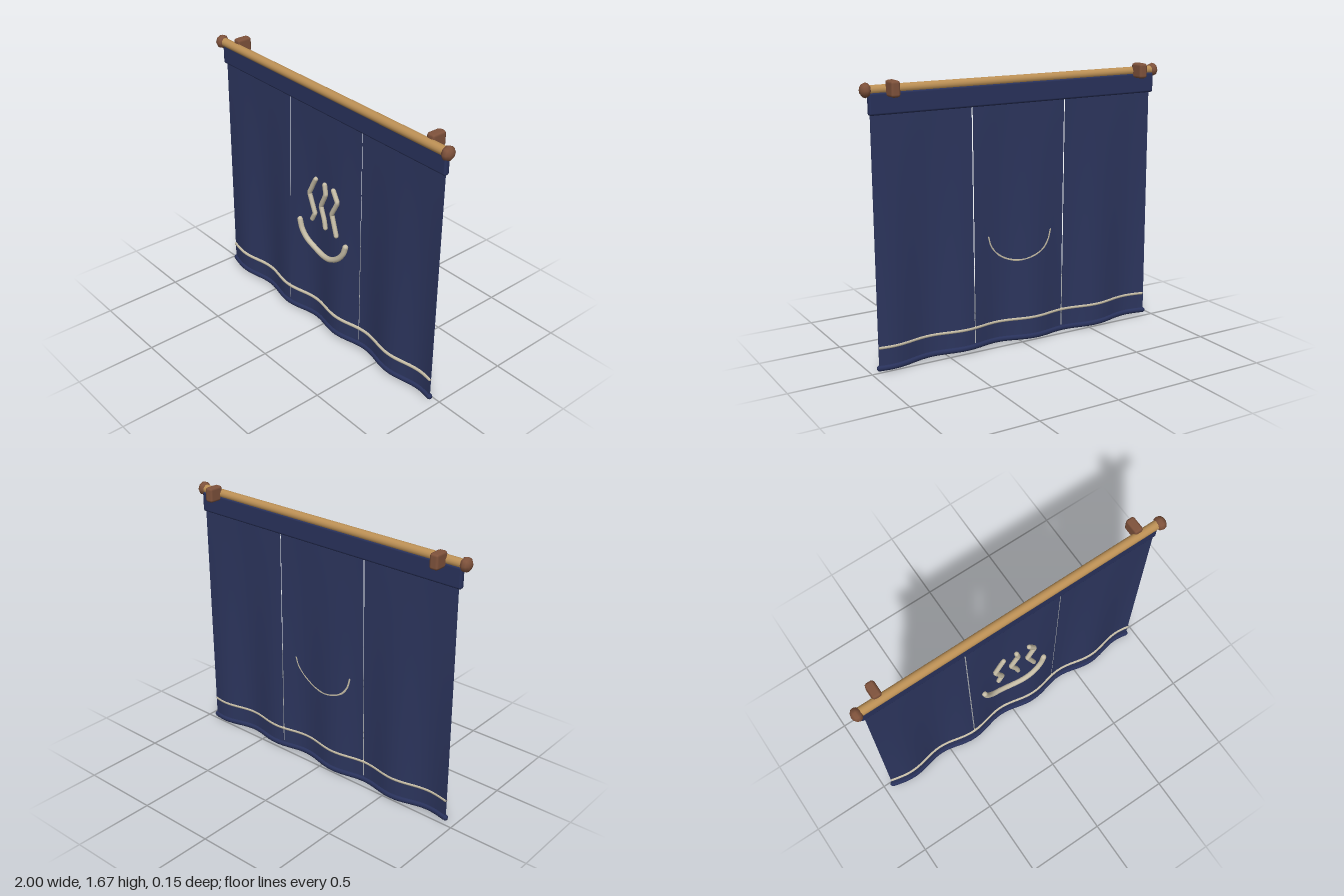
import * as THREE from 'three';
import { RoundedBoxGeometry } from 'three/addons/geometries/RoundedBoxGeometry.js';

const mat = (name, color) => {
  const m = new THREE.MeshStandardMaterial({ color });
  m.name = name;
  return m;
};
const V = (x, y, z) => new THREE.Vector3(x, y, z);

// Depth of the hanging cloth: folds grow towards the bottom
function clothZ(x, y) {
  const drop = THREE.MathUtils.clamp((1.49 - y) / 1.46, 0, 1);
  return 0.02 + drop * (0.011 + 0.019 * Math.cos((2 * Math.PI * (x + 0.8)) / 0.472));
}

// Height of the uneven lower edge
const sag = (x) => 0.007 * Math.sin(x * 4.6);

export function createModel() {
  const group = new THREE.Group();
  const navy = mat('navy cloth', 0x2d365f);
  const hemNavy = mat('navy hem', 0x29325c);
  const cream = mat('cream cord', 0xc8bfa8);
  const wood = mat('light wood', 0xbc9055);
  const brown = mat('brown wood', 0x80533c);

  const add = (name, geometry, material, x = 0, y = 0, z = 0) => {
    const mesh = new THREE.Mesh(geometry, material);
    mesh.name = name;
    mesh.position.set(x, y, z);
    group.add(mesh);
    return mesh;
  };

  // Capped tube with rounded-off ends
  const cord = (name, points, radius, material, segments, sides = 8, smooth = true) => {
    const path = smooth ? new THREE.CatmullRomCurve3(points) : new THREE.CurvePath();
    if (!smooth) {
      for (let i = 1; i < points.length; i++) path.add(new THREE.LineCurve3(points[i - 1], points[i]));
    }
    add(name, new THREE.TubeGeometry(path, segments, radius, sides), material);
    for (const p of [points[0], points[points.length - 1]]) {
      add(name + 'End', new THREE.SphereGeometry(radius, sides, 6), material, p.x, p.y, p.z);
    }
  };

  // Rod
  add('rod', new THREE.CylinderGeometry(0.027, 0.027, 1.94, 16).rotateZ(Math.PI / 2), wood, 0, 1.622, 0.027);

  // End knobs and wall brackets
  for (const side of [-1, 1]) {
    const knob = new THREE.SphereGeometry(0.043, 8, 6).rotateZ(Math.PI / 2).scale(0.75, 1, 1);
    add('knob', knob, brown, side * 0.968, 1.622, 0.03);
    add('bracket', new RoundedBoxGeometry(0.056, 0.092, 0.098, 1, 0.016), brown, side * 0.83, 1.629, -0.024);
  }

  // Header band under the rod
  add('headerBand', new RoundedBoxGeometry(1.92, 0.126, 0.036, 2, 0.013), hemNavy, 0, 1.547, 0.018);

  // Three cloth panels: [top left, top right, bottom left, bottom right]
  const panels = [
    [-0.937, -0.312, -0.945, -0.321],
    [-0.302, 0.318, -0.31, 0.315],
    [0.328, 0.95, 0.325, 0.945],
  ];
  for (const [tl, tr, bl, br] of panels) {
    const g = new THREE.BoxGeometry(1, 1, 0.006, 18, 20, 1);
    const p = g.attributes.position;
    for (let i = 0; i < p.count; i++) {
      const u = p.getX(i) + 0.5;
      const v = p.getY(i) + 0.5;
      const x = THREE.MathUtils.lerp(
        THREE.MathUtils.lerp(bl, br, u), THREE.MathUtils.lerp(tl, tr, u), v);
      const y = 0.025 + v * 1.475 + (1 - v) * sag(x);
      p.setXYZ(i, x, y, clothZ(x, y) + p.getZ(i));
    }
    g.computeVertexNormals();
    add('clothPanel', g, navy);
  }

  // Bottom hem and stripe follow the folds
  const across = (y, half, offset, wobble) => {
    const pts = [];
    for (let i = 0; i <= 32; i++) {
      const x = -half + (2 * half * i) / 32;
      pts.push(V(x, y + sag(x) * wobble, clothZ(x, y) + offset));
    }
    return pts;
  };
  cord('bottomHem', across(0.027, 0.942, 0, 1), 0.018, hemNavy, 64);
  cord('stripe', across(0.147, 0.936, 0.003, 0.4), 0.011, cream, 64);

  // Bowl emblem and steam lines laid on the cloth
  const onCloth = (points, offset) => points.map(([x, y]) => V(x, y, clothZ(x, y) + offset));
  const bowl = [
    [-0.213, 0.69], [-0.195, 0.628], [-0.155, 0.575], [-0.085, 0.54], [0, 0.526],
    [0.085, 0.543], [0.155, 0.585], [0.2, 0.64], [0.218, 0.695],
  ];
  cord('bowlCurve', onCloth(bowl, 0.013), 0.018, cream, 40);

  const steam = [
    [[-0.068, 1.03], [-0.09, 0.99], [-0.128, 0.915], [-0.078, 0.79], [-0.104, 0.74]],
    [[0.02, 1.03], [0.032, 0.97], [-0.018, 0.87], [0.018, 0.79], [0.03, 0.74]],
    [[0.105, 1.03], [0.145, 0.965], [0.094, 0.87], [0.14, 0.74]],
  ];
  for (const line of steam) cord('steamLine', onCloth(line, 0.014), 0.015, cream, 28, 8, false);

  return group;
}
